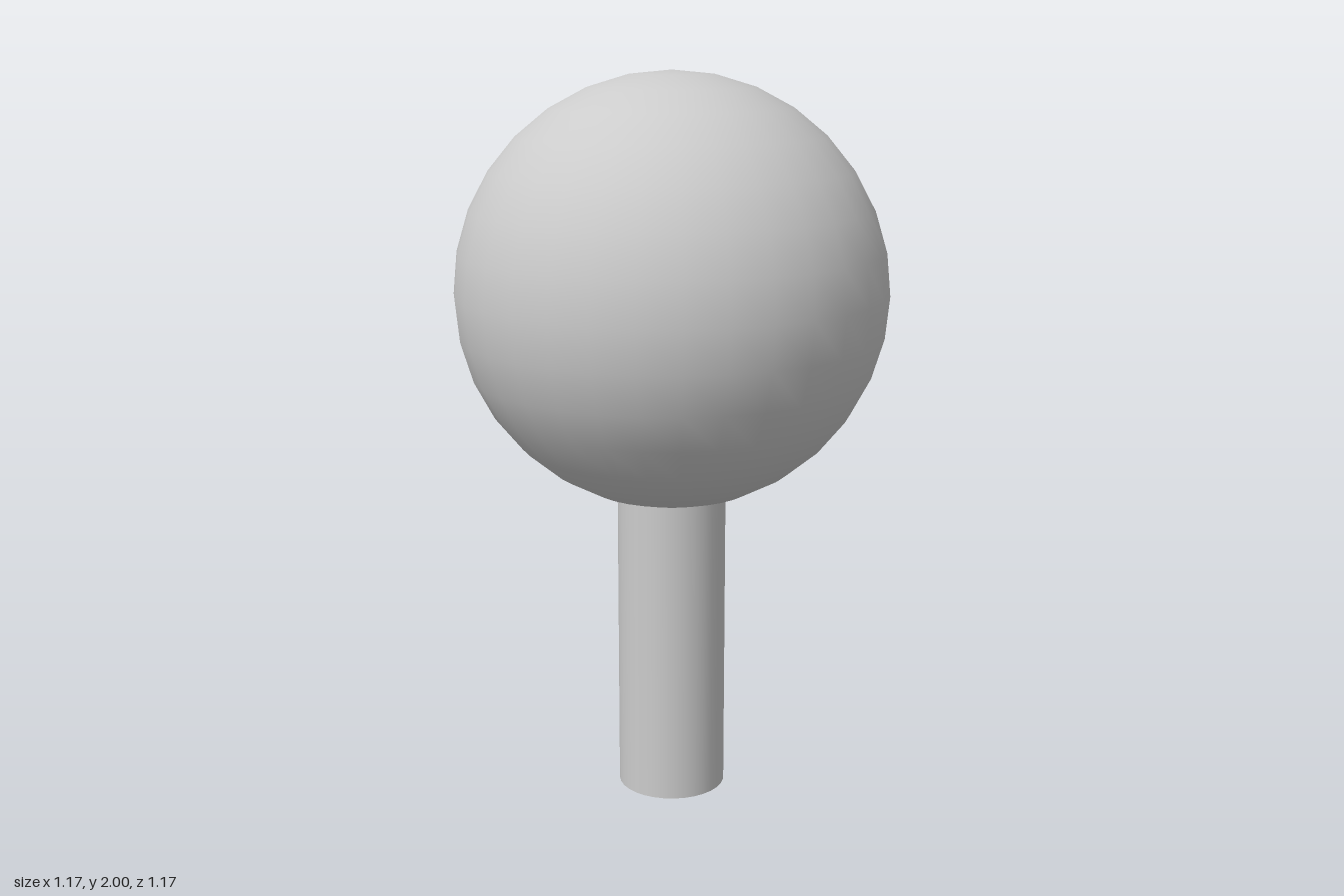
import * as THREE from 'three';

export function createModel() {
  const group = new THREE.Group();
  const material = new THREE.MeshStandardMaterial({ color: 0xcccccc });

  const add = (name, geometry, y) => {
    const mesh = new THREE.Mesh(geometry, material);
    mesh.name = name;
    mesh.position.y = y;
    group.add(mesh);
  };

  // Round head resting on the stem
  const radius = 0.585;
  add('head', new THREE.SphereGeometry(radius, 32, 16), 2 - radius);

  // Upright stem, its top sunk slightly into the head
  const stemHeight = 0.88;
  add('stem', new THREE.CylinderGeometry(0.15, 0.15, stemHeight, 32), stemHeight / 2);

  return group;
}
